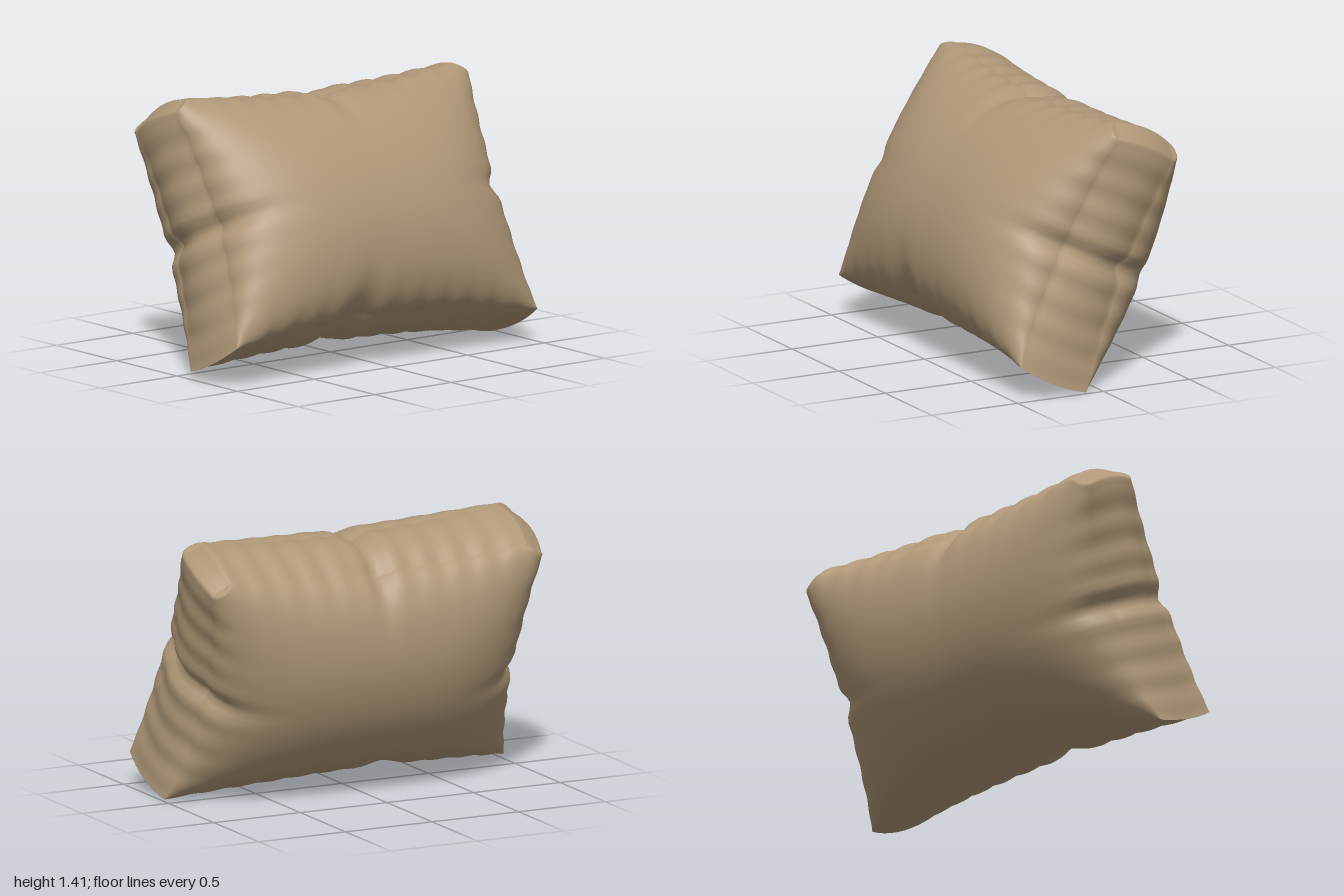
import * as THREE from 'three';
import { mergeVertices } from 'three/addons/utils/BufferGeometryUtils.js';

const bump = (x, width) => Math.exp(-((x / width) ** 2));
const ease = (x) => Math.sin((x * Math.PI) / 2); // packs vertices towards the seams

// Maps a point of the unit box (a across, b along, t through) to the stuffed cushion.
function inflate(p) {
  let a = ease(p.x), b = ease(p.y);
  const t = p.z;

  // Tucked upper corners
  const excess = Math.max(0, Math.abs(a) + b - 1.87);
  const fa = Math.sqrt(Math.max(0, 1 - Math.abs(a) ** 3));
  const fb = Math.max(0, 1 - b * b) ** 0.6;
  a -= (Math.sign(a) * excess) / 2;
  b -= excess / 2;

  // Puffed faces over a narrow border that bows outward between its seams
  const bow = 1 - t * t;
  let x = a * (0.885 + 0.095 * b * b + bow * (0.05 - 0.035 * b * b));
  let y = b * (0.6 + 0.08 * a * a + bow * (0.05 - 0.03 * a * a));
  let z = t * (0.19 - 0.02 * b + 0.33 * fa * fb);

  // Folds pinched into the middle of each border
  const nearEnd = Math.exp(-(1 - Math.abs(a)) / 0.12);
  const nearTop = Math.exp(-(1 - b) / 0.15);
  const nearBottom = Math.exp(-(1 + b) / 0.15);
  const endFold = bump(b + 0.04, 0.08) * nearEnd;
  const topFold = bump(a, 0.06) * nearTop;
  const bottomFold = bump(a + 0.19, 0.08) * nearBottom;
  x -= Math.sign(a) * 0.04 * endFold;
  y += 0.04 * (bottomFold - topFold);
  z *= 1 - 0.12 * (endFold + topFold + bottomFold);

  // Light puckering along the seams
  x += Math.sign(a) * 0.006 * Math.sin(b * 27) * nearEnd * fb;
  y += 0.006 * Math.sin(a * 38) * (nearTop + nearBottom) * fa;
  return p.set(x, y, z);
}

export function createModel() {
  let geometry = new THREE.BoxGeometry(2, 2, 2, 96, 64, 16);
  geometry.deleteAttribute('uv');
  geometry.deleteAttribute('normal');
  geometry = mergeVertices(geometry);

  const pos = geometry.attributes.position;
  const p = new THREE.Vector3();
  for (let i = 0; i < pos.count; i++) {
    inflate(p.fromBufferAttribute(pos, i));
    pos.setXYZ(i, p.x, p.y, p.z);
  }

  // Lean back, roll slightly and rest on the ground
  geometry.rotateX(-0.44).rotateZ(-0.018);
  geometry.computeBoundingBox();
  const { min, max } = geometry.boundingBox;
  geometry.translate(-(min.x + max.x) / 2, -min.y, -(min.z + max.z) / 2);
  geometry.computeVertexNormals();

  const cushion = new THREE.Mesh(geometry, new THREE.MeshStandardMaterial({ color: 0xb09878 }));
  cushion.name = 'cushion';
  const group = new THREE.Group();
  group.name = 'pillow';
  group.add(cushion);
  return group;
}
